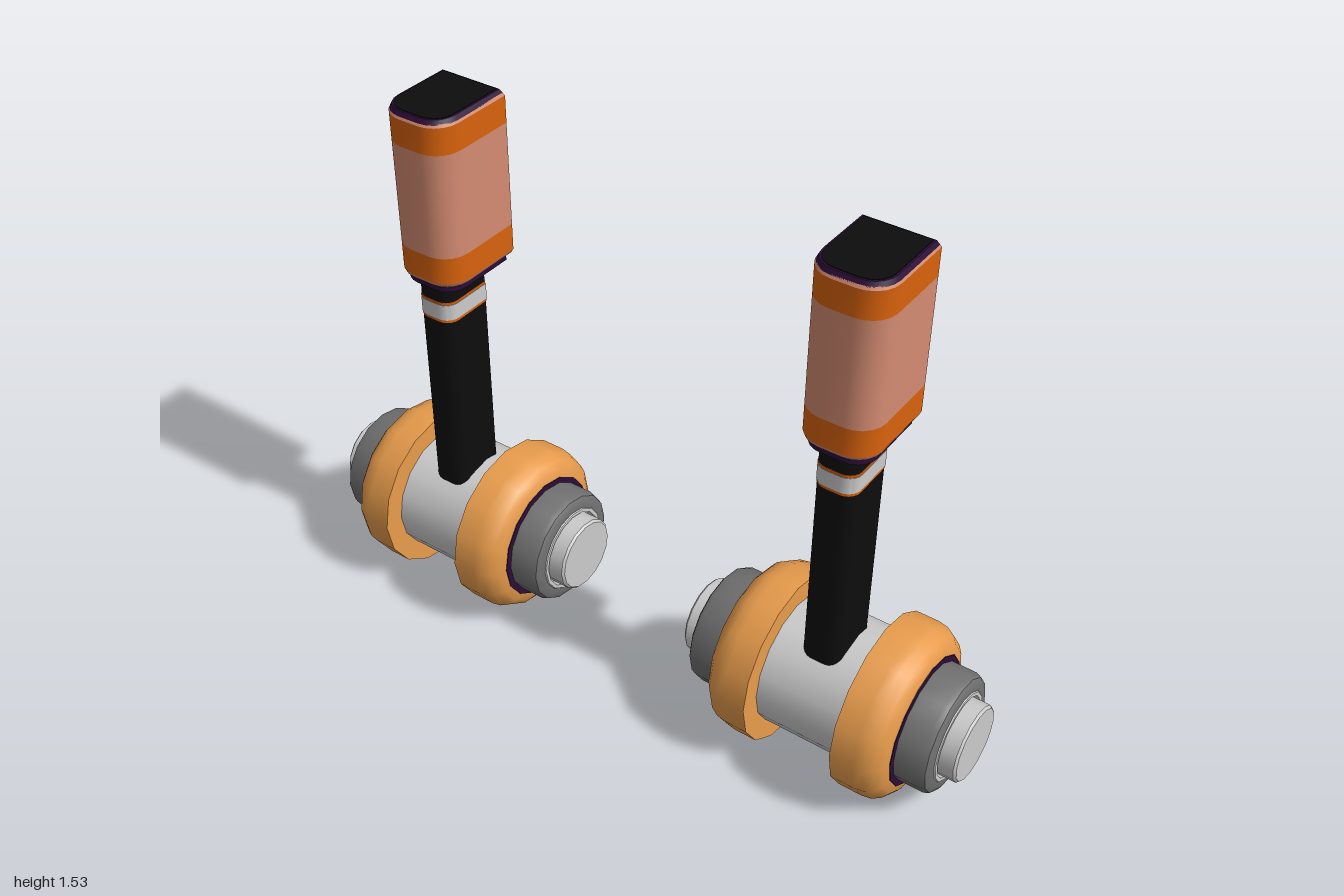
import * as THREE from 'three';
import { toCreasedNormals } from 'three/addons/utils/BufferGeometryUtils.js';

const COLORS = {
  steel: 0xcccccc, hub: 0x707070, wheel: 0xe89c4c, orange: 0xd8620c,
  pink: 0xd48b72, purple: 0x2c0d38, black: 0x0d0d0d,
};
const materials = {};
for (const key in COLORS) materials[key] = new THREE.MeshStandardMaterial({ color: COLORS[key] });

function part(name, geometry, material) {
  const mesh = new THREE.Mesh(toCreasedNormals(geometry, 0.6), materials[material]);
  mesh.name = name;
  return mesh;
}

// Turned part: profile of [radius, distance along axle]
function turned(name, profile, material, segments = 16) {
  const points = profile.map(([r, d]) => new THREE.Vector2(r, d));
  return part(name, new THREE.LatheGeometry(points, segments), material);
}

// Outline with two rounded front corners and two sharp back corners
function outline(w, back, front, r) {
  const points = [];
  const steps = 5;
  for (let i = 0; i <= steps; i++) {
    const a = (i / steps) * Math.PI / 2;
    points.push([w - r + r * Math.sin(a), front - r + r * Math.cos(a)]);
  }
  points.push([w, back], [-w, back]);
  for (let i = 0; i <= steps; i++) {
    const a = (i / steps - 1) * Math.PI / 2;
    points.push([-w + r + r * Math.sin(a), front - r + r * Math.cos(a)]);
  }
  return points;
}

// Capped loft through levels of [height, inset] of an outline
function loft(name, shape, levels, material) {
  const pos = [], index = [];
  const mid = (shape.front + shape.back) / 2;
  let n = 0;
  for (const [y, inset] of levels) {
    const ring = outline(shape.w - inset, shape.back + inset, shape.front - inset, shape.r - inset);
    n = ring.length;
    for (const [x, z] of ring) pos.push(x, y, z);
  }
  const last = (levels.length - 1) * n;
  const bottom = pos.length / 3;
  pos.push(0, levels[0][0], mid, 0, levels[levels.length - 1][0], mid);
  for (let i = 0; i < n; i++) {
    const j = (i + 1) % n;
    for (let k = 0; k < last; k += n) {
      index.push(k + i, k + j, k + n + j, k + i, k + n + j, k + n + i);
    }
    index.push(bottom, j, i, bottom + 1, last + i, last + j);
  }
  const g = new THREE.BufferGeometry();
  g.setAttribute('position', new THREE.Float32BufferAttribute(pos, 3));
  g.setIndex(index);
  return part(name, g, material);
}

// One end of the axle: wheel, trim ring, hub and end cap
function createWheelEnd(side) {
  const end = new THREE.Group();
  end.name = side > 0 ? 'leftWheel' : 'rightWheel';
  const tyre = [[0.17, 0.125], [0.24, 0.125], [0.24, 0.19]];
  for (let i = 1; i <= 4; i++) {
    const a = (i / 4) * Math.PI / 2;
    tyre.push([0.18 + 0.06 * Math.cos(a), 0.19 + 0.07 * Math.sin(a)]);
  }
  tyre.push([0.178, 0.25]);
  end.add(
    turned('tyre', tyre, 'wheel'),
    turned('trimRing', [[0.182, 0.25], [0.18, 0.262], [0.155, 0.262]], 'purple'),
    turned('hub', [[0.163, 0.24], [0.163, 0.33], [0.157, 0.345], [0.145, 0.352], [0.124, 0.352]], 'hub'),
    turned('hubLip', [[0.125, 0.351], [0.122, 0.355], [0.112, 0.355], [0.11, 0.335], [0.09, 0.335]], 'steel'),
    turned('endCap', [[0.105, 0.33], [0.105, 0.394], [0.099, 0.4], [0, 0.4]], 'steel'),
  );
  end.rotation.z = -side * Math.PI / 2;
  return end;
}

function createUnit() {
  const unit = new THREE.Group();

  // Axle assembly
  const axle = new THREE.Group();
  axle.name = 'axleAssembly';
  axle.position.y = 0.24;
  const barrel = turned('barrel', [[0.18, -0.14], [0.18, 0.14]], 'steel');
  barrel.rotation.z = -Math.PI / 2;
  axle.add(barrel, createWheelEnd(1), createWheelEnd(-1));

  // Upright post with a banded collar
  const post = { w: 0.055, back: -0.04, front: 0.105, r: 0.035 };
  unit.add(
    axle,
    loft('post', post, [[0.32, 0], [1.05, 0]], 'black'),
    loft('collarTrim', post, [[0.93, -0.001], [0.992, -0.001]], 'orange'),
    loft('collarBand', post, [[0.938, -0.002], [0.984, -0.002]], 'steel'),
  );

  // Grip, stacked from coloured bands
  const grip = { w: 0.1, back: -0.11, front: 0.135, r: 0.07 };
  const bands = [
    ['gripBase', [[1.04, 0.014], [1.062, 0.014]], 'purple'],
    ['lowerLip', [[1.056, 0.012], [1.062, 0.004], [1.072, 0]], 'pink'],
    ['lowerBand', [[1.072, 0], [1.147, 0]], 'orange'],
    ['gripBody', [[1.147, 0], [1.438, 0]], 'pink'],
    ['upperBand', [[1.438, 0], [1.512, 0]], 'orange'],
    ['upperLip', [[1.512, 0], [1.52, 0.004]], 'pink'],
    ['topRim', [[1.518, 0.003], [1.53, 0.009]], 'purple'],
    ['topPad', [[1.529, 0.014], [1.532, 0.014]], 'black'],
  ];
  for (const [name, levels, material] of bands) unit.add(loft(name, grip, levels, material));
  return unit;
}

export function createModel() {
  const model = new THREE.Group();
  model.name = 'gripPair';
  for (const side of [1, -1]) {
    const unit = createUnit();
    unit.name = side > 0 ? 'leftUnit' : 'rightUnit';
    unit.position.x = side * 0.6;
    model.add(unit);
  }
  return model;
}
